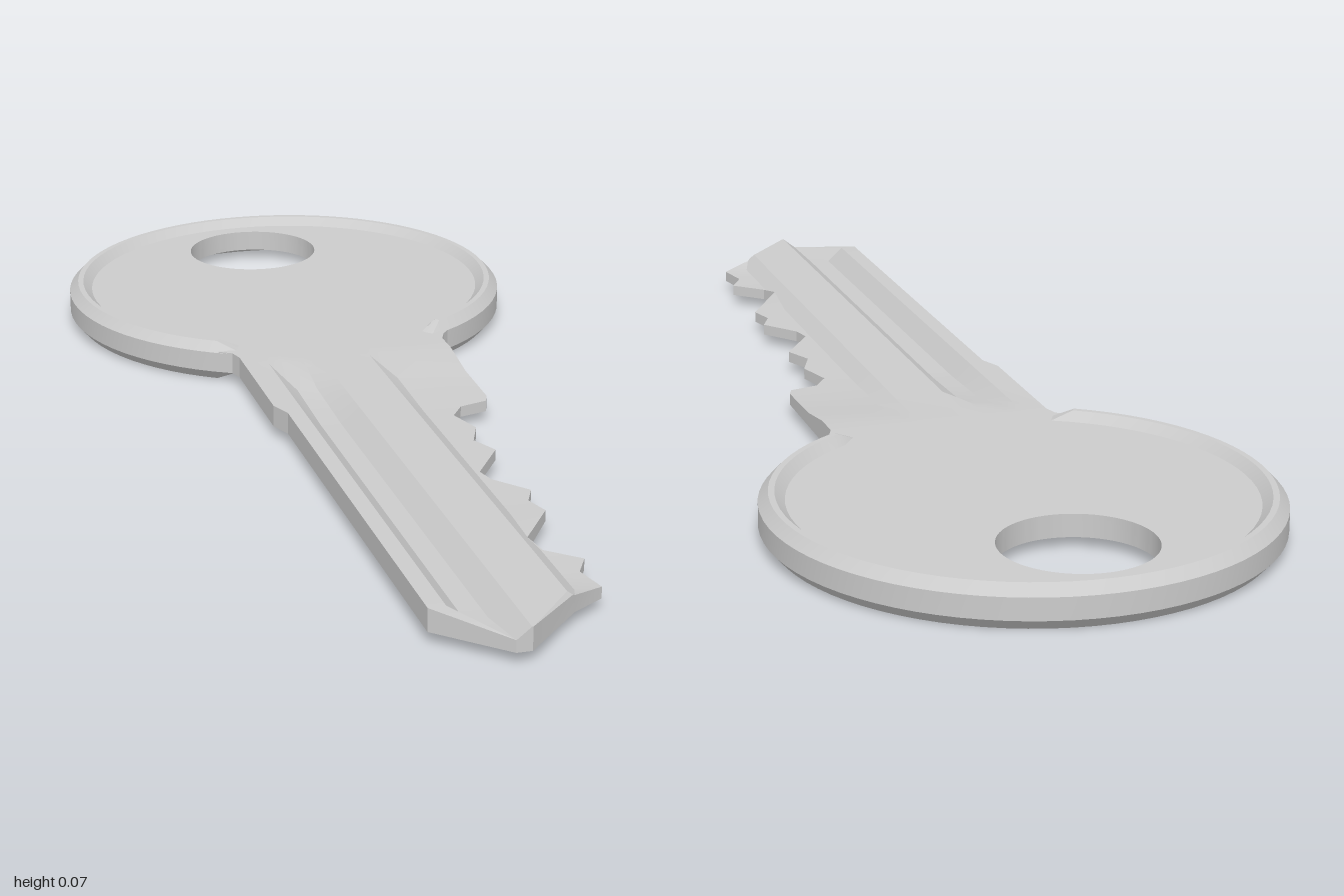
import * as THREE from 'three';
import { toCreasedNormals } from 'three/addons/utils/BufferGeometryUtils.js';

const LOW = 0.018, HIGH = 0.056; // faces of the flat plate
const BOW_Z = -0.59, BOW_R = 0.41;

// Joins equal-length rings of [x, y, z] points and closes both ends.
function loft(rings, crease) {
  const n = rings[0].length, pos = rings.flat(2), idx = [];
  rings.slice(1).forEach((_, i) => {
    for (let j = 0; j < n; j++) {
      const a = i * n + j, b = i * n + (j + 1) % n, c = b + n, d = a + n;
      idx.push(a, d, c, a, c, b);
    }
  });
  [0, rings.length - 1].forEach((k) => {
    const ring = rings[k], centre = pos.length / 3;
    for (let c = 0; c < 3; c++) pos.push(ring.reduce((s, p) => s + p[c], 0) / n);
    for (let j = 0; j < n; j++) {
      const a = k * n + j, b = k * n + (j + 1) % n;
      if (k === 0) idx.push(centre, a, b);
      else idx.push(centre, b, a);
    }
  });
  const g = new THREE.BufferGeometry();
  g.setAttribute('position', new THREE.Float32BufferAttribute(pos, 3));
  g.setIndex(idx);
  return toCreasedNormals(g, crease);
}

// Linear interpolation through [position, value] pairs.
function along(points, t) {
  if (t <= points[0][0]) return points[0][1];
  for (let i = 1; i < points.length; i++) {
    const [a, va] = points[i - 1], [b, vb] = points[i];
    if (t <= b) return va + (vb - va) * (t - a) / (b - a);
  }
  return points[points.length - 1][1];
}

// Round plate with the ring hole, cut straight at the neck
function bowPlate() {
  const r = BOW_R - 0.01, half = Math.acos((-0.24 - BOW_Z) / r);
  const shape = new THREE.Shape();
  shape.absarc(0, -BOW_Z, r, -Math.PI / 2 + half, 1.5 * Math.PI - half, false);
  const hole = new THREE.Path();
  hole.absarc(-0.01, 0.805, 0.123, 0, Math.PI * 2, true);
  shape.holes.push(hole);
  const g = new THREE.ExtrudeGeometry(shape, { depth: HIGH - LOW, bevelEnabled: false, curveSegments: 48 });
  g.rotateX(-Math.PI / 2).translate(0, LOW, 0);
  return toCreasedNormals(g, 0.5);
}

// Raised, bevelled border that fades out at the neck
function bowRim() {
  const section = [
    [0.368, HIGH], [0.384, 0.071], [0.394, 0.071], [BOW_R, 0.054],
    [BOW_R, LOW], [0.394, 0], [0.384, 0], [0.368, LOW],
  ];
  const gap = 0.47, fade = 0.09, steps = 64, rings = [];
  const ring = (t, h) => section.map(([r, y]) => {
    const flat = THREE.MathUtils.clamp(y, LOW, HIGH);
    return [r * Math.cos(t), flat + (y - flat) * h, BOW_Z + r * Math.sin(t)];
  });
  const start = Math.PI / 2 + gap, end = 2.5 * Math.PI - gap;
  rings.push(ring(start, 0));
  for (let i = 0; i <= steps; i++) {
    rings.push(ring(start + fade + (end - start - 2 * fade) * i / steps, 1));
  }
  rings.push(ring(end, 0));
  return loft(rings, 0.4);
}

// Shank and blade: a grooved section swept along z between its two edges
function bladeGeometry() {
  const leftEdge = [
    [-0.24, -0.21], [-0.225, -0.188], [-0.2, -0.181], [0.05, -0.181],
    [0.09, -0.166], [0.9, -0.166], [1, -0.065],
  ];
  const rightEdge = [
    [-0.24, 0.22], [-0.225, 0.208], [-0.2, 0.198], [0.06, 0.198], [0.08, 0.19],
    [0.094, 0.14], [0.13, 0.116], [0.195, 0.135], [0.25, 0.113], [0.3, 0.135],
    [0.385, 0.08], [0.42, 0.088], [0.48, 0.135], [0.52, 0.117], [0.565, 0.13],
    [0.67, 0.064], [0.71, 0.075], [0.757, 0.125], [0.8, 0.102], [0.86, 0.115],
    [0.895, 0.06], [1, -0.04],
  ];
  // Section as [x, depth]: a channel on the left, a lowered step by the teeth
  const cut = [
    [-0.25, 0], [-0.138, 0], [-0.11, 0.026], [-0.075, 0.026],
    [-0.042, 0], [0.046, 0], [0.072, 0.019], [0.25, 0.019],
  ];
  const runOut = [[-0.15, 0], [-0.06, 0.75], [0.1, 1]];
  const stations = [...leftEdge, ...rightEdge, ...runOut].map((p) => p[0]);
  const zs = [...new Set(stations)].sort((a, b) => a - b);
  return loft(zs.map((z) => {
    const l = along(leftEdge, z), r = along(rightEdge, z), depth = along(runOut, z);
    const top = cut.map(([x]) => {
      const cx = THREE.MathUtils.clamp(x, l, r);
      return [cx, HIGH - along(cut, cx) * depth, z];
    });
    return [...top, [r, LOW, z], [l, LOW, z]];
  }), 0.25);
}

export function createModel() {
  const key = new THREE.Group();
  key.name = 'key';
  const metal = new THREE.MeshStandardMaterial({ color: 0xcccccc });
  const parts = { bowPlate: bowPlate(), bowRim: bowRim(), blade: bladeGeometry() };
  for (const [name, geometry] of Object.entries(parts)) {
    const mesh = new THREE.Mesh(geometry, metal);
    mesh.name = name;
    key.add(mesh);
  }
  return key;
}
